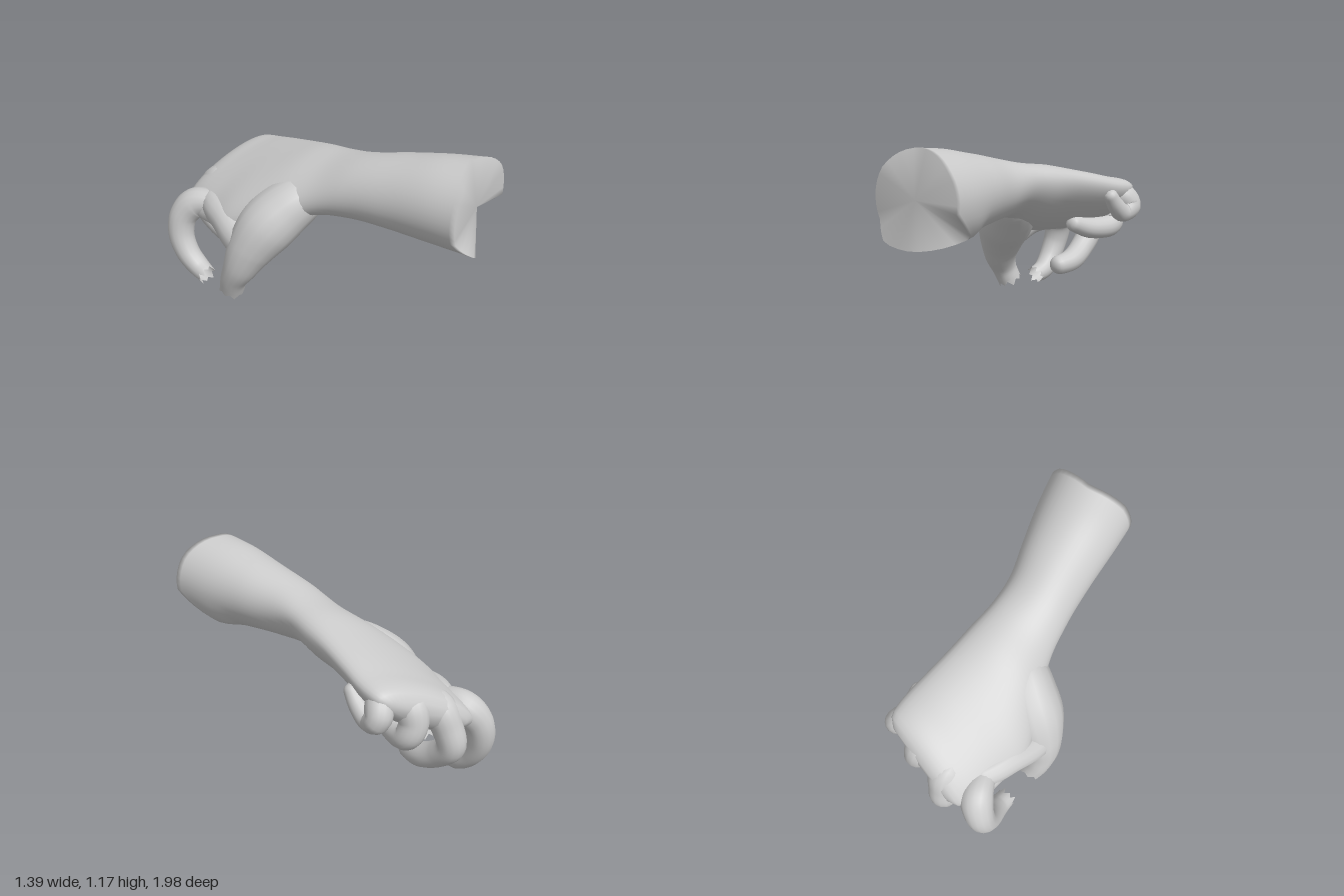
import * as THREE from 'three';
import { mergeVertices } from 'three/addons/utils/BufferGeometryUtils.js';

const material = new THREE.MeshStandardMaterial({ color: 0xcccccc, side: THREE.DoubleSide });

// Smooth spline through rows of numbers; the first number of each row is the parameter
function rowSpline(rows) {
  const size = rows[0].length - 1;
  const spline = new THREE.CubicInterpolant(rows.map(r => r[0]), rows.flatMap(r => r.slice(1)), size);
  return t => Array.from(spline.evaluate(t));
}

function named(name, geometry) {
  const mesh = new THREE.Mesh(geometry, material);
  mesh.name = name;
  return mesh;
}

// Palm and forearm: tilted ellipses lofted from the knuckles to the cut end
const SIDES = 40;
const sections = [
  // z, centre x, centre y, half width, half thickness, tilt, shear of the section plane
  [-0.93, -0.18, 0.635, 0.27, 0.055, 0.43, 0],
  [-0.90, -0.18, 0.635, 0.33, 0.09, 0.44, 0],
  [-0.84, -0.18, 0.63, 0.365, 0.12, 0.46, 0],
  [-0.74, -0.18, 0.635, 0.39, 0.13, 0.47, 0],
  [-0.60, -0.17, 0.655, 0.40, 0.138, 0.50, 0],
  [-0.40, -0.15, 0.69, 0.405, 0.15, 0.52, 0],
  [-0.20, -0.06, 0.755, 0.335, 0.16, 0.53, 0.05],
  [0.00, 0.04, 0.825, 0.25, 0.147, 0.52, 0.14],
  [0.20, 0.125, 0.86, 0.22, 0.18, 0.5, 0.24],
  [0.42, 0.23, 0.885, 0.235, 0.215, 0.6, 0.32],
  [0.65, 0.335, 0.90, 0.26, 0.255, 0.7, 0.34],
  [0.86, 0.425, 0.91, 0.28, 0.27, 0.9, 0.34],
];

// Torn rim: how far each direction of the cut end is pulled along the arm
function tear(angle) {
  const bump = (at, width) => {
    const d = Math.atan2(Math.sin(angle - at), Math.cos(angle - at));
    return Math.max(0, 1 - Math.abs(d) / width);
  };
  return 0.07 * bump(-2.15, 0.5) - 0.24 * bump(-0.9, 0.75) - 0.05 * bump(1.6, 0.9);
}

function armGeometry() {
  const section = rowSpline(sections);
  const steps = 56, z0 = sections[0][0], z1 = sections.at(-1)[0];
  const pos = [], index = [];
  for (let i = 0; i <= steps; i++) {
    const z = z0 + (z1 - z0) * i / steps;
    const [cx, cy, a, b, tilt, shear] = section(z);
    for (let j = 0; j < SIDES; j++) {
      const t = j / SIDES * Math.PI * 2 - tilt;
      const u = a * Math.cos(t), v = b * Math.sin(t);
      const dx = u * Math.cos(tilt) - v * Math.sin(tilt);
      const dy = u * Math.sin(tilt) + v * Math.cos(tilt);
      const pull = z > 0.5 ? tear(Math.atan2(dy, dx)) * (z - 0.5) / (z1 - 0.5) : 0;
      pos.push(cx + dx + 0.42 * pull, cy + dy + 0.05 * pull, z - shear * dx + pull);
      if (i < steps) {
        const p = i * SIDES + j, q = i * SIDES + (j + 1) % SIDES;
        index.push(p, q, q + SIDES, p, q + SIDES, p + SIDES);
      }
    }
  }
  // Close the knuckle end and the cut end
  const knuckles = pos.length / 3, cut = knuckles + 1, rim = steps * SIDES;
  pos.push(sections[0][1], sections[0][2], z0 - 0.01, 0.41, 0.91, 0.85);
  for (let j = 0; j < SIDES; j++) {
    const k = (j + 1) % SIDES;
    index.push(knuckles, k, j, cut, rim + j, rim + k);
  }
  const g = new THREE.BufferGeometry();
  g.setAttribute('position', new THREE.Float32BufferAttribute(pos, 3));
  g.setIndex(index);
  g.computeVertexNormals();
  return g;
}

// Finger: a tube along points [x, y, z, radius], with a round tip or a torn open end
function fingerGeometry(points, torn) {
  const curve = new THREE.CatmullRomCurve3(points.map(p => new THREE.Vector3(p[0], p[1], p[2])));
  const length = curve.getLength(), steps = 48, sides = 16;
  const radius = rowSpline(points.map((p, i) => [i / (points.length - 1), p[3]]));
  const g = new THREE.TubeGeometry(curve, steps, 1, sides, false);
  const pos = g.attributes.position, v = new THREE.Vector3();
  const end = curve.getTangentAt(1);
  for (let i = 0; i <= steps; i++) {
    const u = i / steps, c = curve.getPointAt(u);
    let r = radius(curve.getUtoTmapping(u))[0];
    const left = (1 - u) * length, tip = points.at(-1)[3];
    if (!torn && left < tip) r *= Math.sqrt(Math.max(0, 1 - (1 - left / tip) ** 2));
    for (let j = 0; j <= sides; j++) {
      const k = i * (sides + 1) + j;
      v.fromBufferAttribute(pos, k).sub(c).multiplyScalar(r).add(c);
      if (torn && i === steps) v.addScaledVector(end, [0.025, -0.01, 0.01, -0.015][j % sides % 4]);
      pos.setXYZ(k, v.x, v.y, v.z);
    }
  }
  g.deleteAttribute('normal');
  g.deleteAttribute('uv');
  const merged = mergeVertices(g, 1e-5);
  merged.computeVertexNormals();
  return merged;
}

const fingers = {
  littleFinger: [[0.03, 0.7, -0.72, 0.06], [0.085, 0.715, -0.84, 0.08], [0.115, 0.65, -0.88, 0.075],
    [0.13, 0.615, -0.81, 0.064], [0.155, 0.67, -0.73, 0.054], [0.175, 0.775, -0.65, 0.04]],
  ringFinger: [[-0.1, 0.67, -0.7, 0.07], [-0.1, 0.67, -0.85, 0.095], [-0.1, 0.58, -0.895, 0.085],
    [-0.07, 0.5, -0.88, 0.08], [-0.055, 0.49, -0.7, 0.07], [-0.045, 0.555, -0.5, 0.048]],
  middleFinger: [[-0.26, 0.6, -0.68, 0.08], [-0.29, 0.6, -0.83, 0.1], [-0.325, 0.49, -0.89, 0.09],
    [-0.345, 0.38, -0.91, 0.085], [-0.32, 0.29, -0.83, 0.08], [-0.275, 0.22, -0.7, 0.075], [-0.26, 0.2, -0.53, 0.06]],
  indexFinger: [[-0.4, 0.54, -0.62, 0.07], [-0.5, 0.52, -0.77, 0.1], [-0.575, 0.43, -0.82, 0.092],
    [-0.605, 0.3, -0.815, 0.085], [-0.595, 0.18, -0.76, 0.078], [-0.565, 0.1, -0.68, 0.07], [-0.55, 0.07, -0.6, 0.06]],
  thumb: [[0.02, 0.8, -0.04, 0.08], [-0.09, 0.735, -0.1, 0.145], [-0.21, 0.65, -0.155, 0.175], [-0.33, 0.54, -0.195, 0.18],
    [-0.43, 0.4, -0.23, 0.145], [-0.485, 0.28, -0.26, 0.11], [-0.51, 0.18, -0.305, 0.085], [-0.505, 0.09, -0.345, 0.08]],
  // Web of skin between the thumb and the index finger
  thumbWeb: [[-0.42, 0.42, -0.22, 0.12], [-0.44, 0.455, -0.33, 0.115], [-0.44, 0.51, -0.47, 0.105],
    [-0.43, 0.53, -0.6, 0.1], [-0.4, 0.55, -0.75, 0.08]],
};

export function createModel() {
  const hand = new THREE.Group();
  hand.name = 'handAndForearm';
  hand.add(named('palmAndForearm', armGeometry()));
  for (const [name, points] of Object.entries(fingers)) {
    const torn = name === 'thumb' || name === 'indexFinger';
    hand.add(named(name, fingerGeometry(points, torn)));
  }
  return hand;
}
